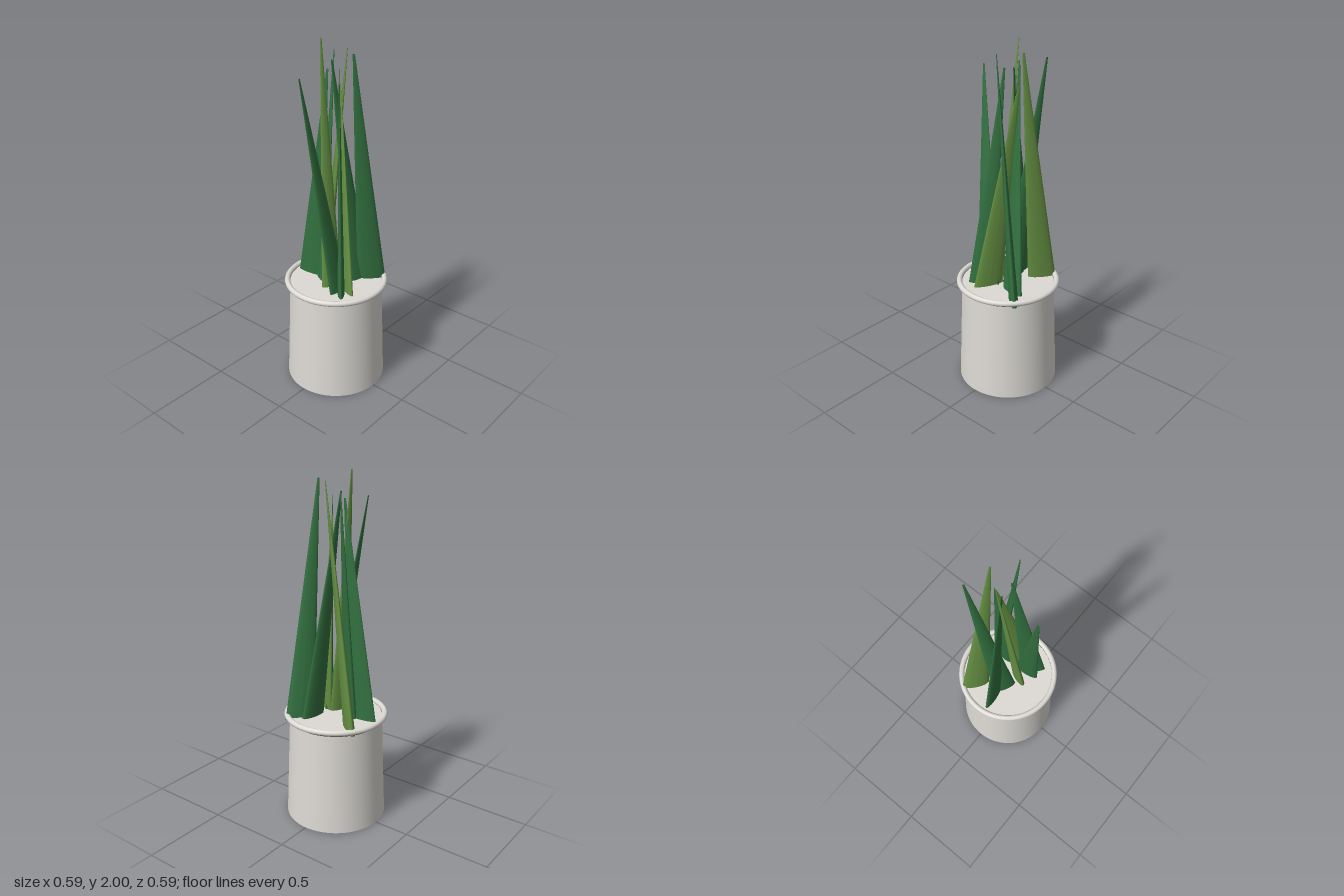
import * as THREE from 'three';

const mat = (name, color) => Object.assign(new THREE.MeshStandardMaterial({ color }), { name });

export function createModel() {
  const group = new THREE.Group();
  const ceramic = mat('ceramic', 0xdddad5);
  const soilBrown = mat('soil brown', 0x4a3020);
  const deepGreen = mat('deep green', 0x32703f);
  const oliveGreen = mat('olive green', 0x648f42);

  const add = (name, geometry, material, y = 0) => {
    const mesh = new THREE.Mesh(geometry, material);
    mesh.name = name;
    mesh.position.y = y;
    group.add(mesh);
    return mesh;
  };

  // Pot: tapered body, rolled rim and a thin soil band just under the rim
  add('potBody', new THREE.CylinderGeometry(0.265, 0.29, 0.62, 64), ceramic, 0.31);
  add('potRim', new THREE.TorusGeometry(0.281, 0.016, 14, 72).rotateX(Math.PI / 2), ceramic, 0.625);
  add('soilBand', new THREE.CylinderGeometry(0.271, 0.271, 0.013, 64), soilBrown, 0.606);

  // Leaf: flattened cone, from a base line (a to b) up to a narrow leaning tip
  const baseY = 0.6;
  const leaf = ([ax, az], [bx, bz], [tx, ty, tz], thickness) => {
    const geo = new THREE.CylinderGeometry(0.07, 1, 1, 20, 1);
    const p = geo.attributes.position;
    const cx = (ax + bx) / 2, cz = (az + bz) / 2;
    const hx = (bx - ax) / 2, hz = (bz - az) / 2;
    const len = Math.hypot(hx, hz);
    const px = (-hz / len) * thickness, pz = (hx / len) * thickness;
    for (let i = 0; i < p.count; i++) {
      const u = p.getX(i), w = p.getZ(i), t = p.getY(i) + 0.5;
      p.setXYZ(i,
        cx + (tx - cx) * t + u * hx + w * px,
        baseY + (ty - baseY) * t,
        cz + (tz - cz) * t + u * hz + w * pz);
    }
    geo.computeVertexNormals();
    return geo;
  };

  // Base ends (x, z), tip (x, y, z), half thickness, colour
  const leaves = [
    [[-0.24, -0.163], [-0.11, -0.06], [-0.006, 1.945, -0.098], 0.026, oliveGreen],
    [[0.196, -0.218], [0.078, -0.1], [0.104, 1.945, -0.014], 0.026, deepGreen],
    [[0.1, -0.185], [0.072, -0.03], [-0.055, 1.89, -0.03], 0.024, deepGreen],
    [[-0.138, 0], [-0.015, 0.07], [-0.137, 1.91, -0.145], 0.024, deepGreen],
    [[-0.255, 0.036], [-0.09, 0.016], [-0.053, 1.85, 0.006], 0.02, deepGreen],
    [[0, 0.123], [0.045, 0.005], [-0.095, 2, 0.008], 0.022, oliveGreen],
    [[0.093, 0.152], [0.078, 0], [-0.054, 1.84, 0.219], 0.022, deepGreen],
    [[0.197, 0.09], [0.045, 0.012], [-0.02, 1.77, -0.058], 0.02, oliveGreen],
    [[0.168, 0.157], [0.075, 0.04], [0.024, 1.86, 0.004], 0.02, deepGreen],
  ];
  leaves.forEach(([a, b, tip, thickness, material], i) =>
    add(`leaf${i + 1}`, leaf(a, b, tip, thickness), material));

  return group;
}
